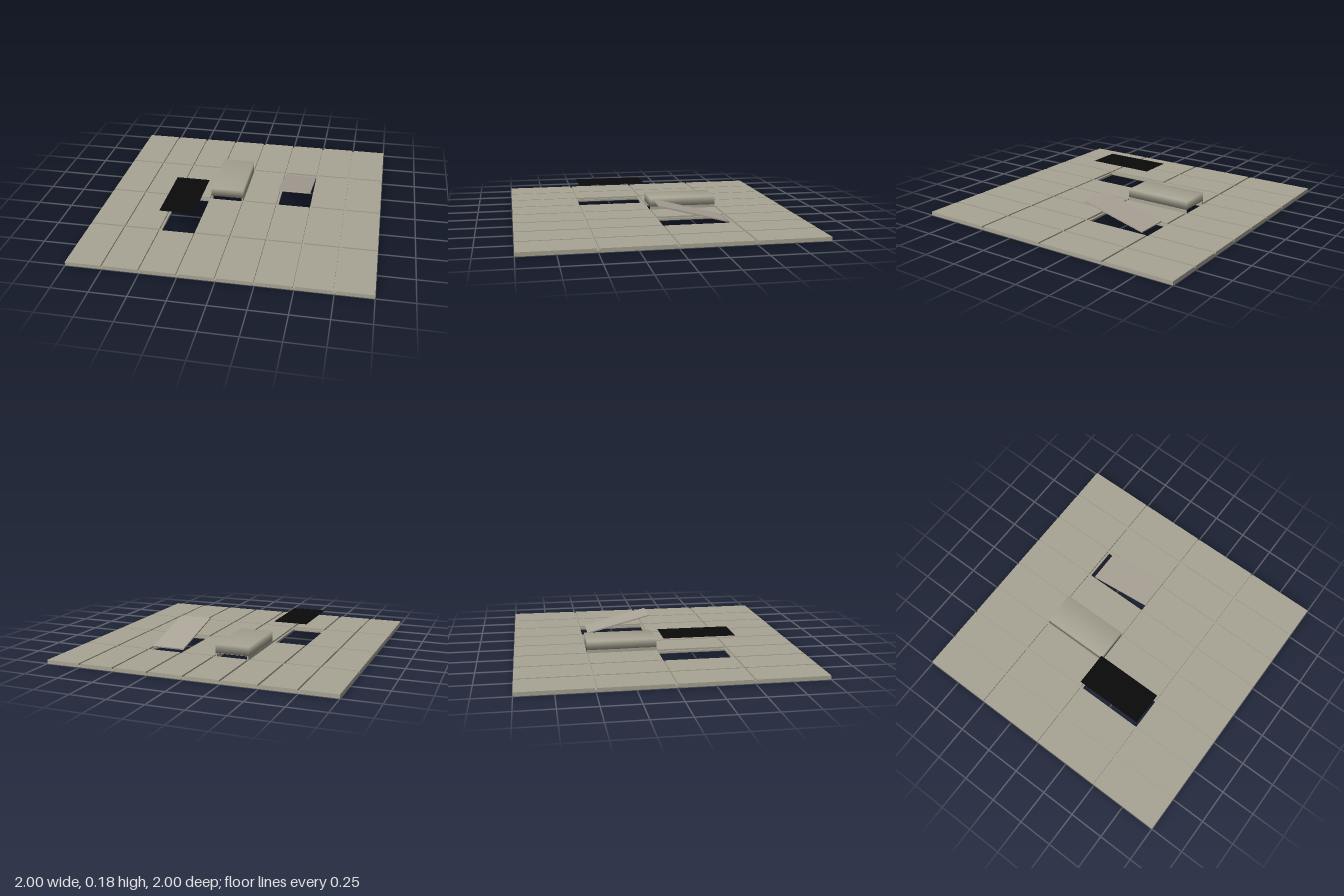
import * as THREE from 'three';
import { mergeVertices } from 'three/addons/utils/BufferGeometryUtils.js';

const stone = new THREE.MeshStandardMaterial({ name: 'stone', color: 0xa8a494 });
const warmStone = new THREE.MeshStandardMaterial({ name: 'warm stone', color: 0xaba397 });
const slate = new THREE.MeshStandardMaterial({ name: 'blue grey', color: 0xb2b8c6 });
const black = new THREE.MeshStandardMaterial({ name: 'black', color: 0x0a0a0a });

const COLS = 8, ROWS = 4, PITCH_X = 0.25, PITCH_Z = 0.5;
const GAP = 0.014, BAR_TOP = 0.014, FLOOR_TOP = 0.026;

// Box given by its minimum and maximum corners
function box(name, material, [x0, y0, z0], [x1, y1, z1]) {
  const mesh = new THREE.Mesh(new THREE.BoxGeometry(x1 - x0, y1 - y0, z1 - z0), material);
  mesh.position.set((x0 + x1) / 2, (y0 + y1) / 2, (z0 + z1) / 2);
  mesh.name = name;
  return mesh;
}

// Share corners so that the shading runs smoothly over the edges
function soften(mesh) {
  mesh.geometry.deleteAttribute('normal');
  mesh.geometry.deleteAttribute('uv');
  mesh.geometry = mergeVertices(mesh.geometry);
  mesh.geometry.computeVertexNormals();
  return mesh;
}

export function createModel() {
  const model = new THREE.Group();
  model.name = 'tiledFloor';

  // Floor tiles, with three cells left open
  const open = new Set(['3,1', '5,1', '2,2']);
  const tiles = new THREE.Group();
  tiles.name = 'floorTiles';
  for (let c = 0; c < COLS; c++) {
    for (let r = 0; r < ROWS; r++) {
      if (open.has(`${c},${r}`)) continue;
      const x = -1 + c * PITCH_X, z = -1 + r * PITCH_Z, g = GAP / 2;
      tiles.add(box('floorTile', stone,
        [x + (c > 0 ? g : 0), BAR_TOP, z + (r > 0 ? g : 0)],
        [x + PITCH_X - (c < COLS - 1 ? g : 0), FLOOR_TOP, z + PITCH_Z - (r < ROWS - 1 ? g : 0)]));
    }
  }
  model.add(tiles);

  // Grid of bars under the tile seams and along the rim
  const frame = new THREE.Group();
  frame.name = 'supportGrid';
  const span = (p) => [Math.max(-1, p - 0.008), Math.min(1, p + 0.008)];
  for (let c = 0; c <= COLS; c++) {
    const [a, b] = span(-1 + c * PITCH_X);
    frame.add(box('longBar', stone, [a, 0, -1], [b, BAR_TOP, 1]));
  }
  for (let r = 0; r <= ROWS; r++) {
    const [a, b] = span(-1 + r * PITCH_Z);
    for (let c = 0; c < COLS; c++) {
      const x = -1 + c * PITCH_X;
      frame.add(box('crossBar', stone, [x + 0.008, 0, a], [x + PITCH_X - 0.008, BAR_TOP, b]));
    }
  }
  model.add(frame);

  // Raised block on two side walls, open at both ends
  const block = new THREE.Group();
  block.name = 'raisedBlock';
  block.add(
    soften(box('blockBody', stone, [-0.245, 0.045, -0.495], [-0.006, 0.108, -0.004])),
    box('rightWall', stone, [-0.245, BAR_TOP, -0.495], [-0.235, 0.046, -0.004]),
    box('leftWall', stone, [-0.016, BAR_TOP, -0.495], [-0.006, 0.046, -0.004]),
    box('blockUnderside', slate, [-0.235, 0.042, -0.49], [-0.016, 0.045, -0.009]),
  );
  model.add(block);

  // Loose tile tilted up at its front end
  const tilted = new THREE.Mesh(new THREE.BoxGeometry(0.236, 0.01, 0.49), warmStone);
  tilted.name = 'tiltedTile';
  tilted.position.set(0.375, 0.093, -0.215);
  tilted.rotation.x = -0.25;
  model.add(tilted);

  // Thin black sheet floating above an open cell
  model.add(box('blackSheet', black, [-0.497, 0.177, 0.003], [-0.255, 0.179, 0.497]));

  return model;
}
